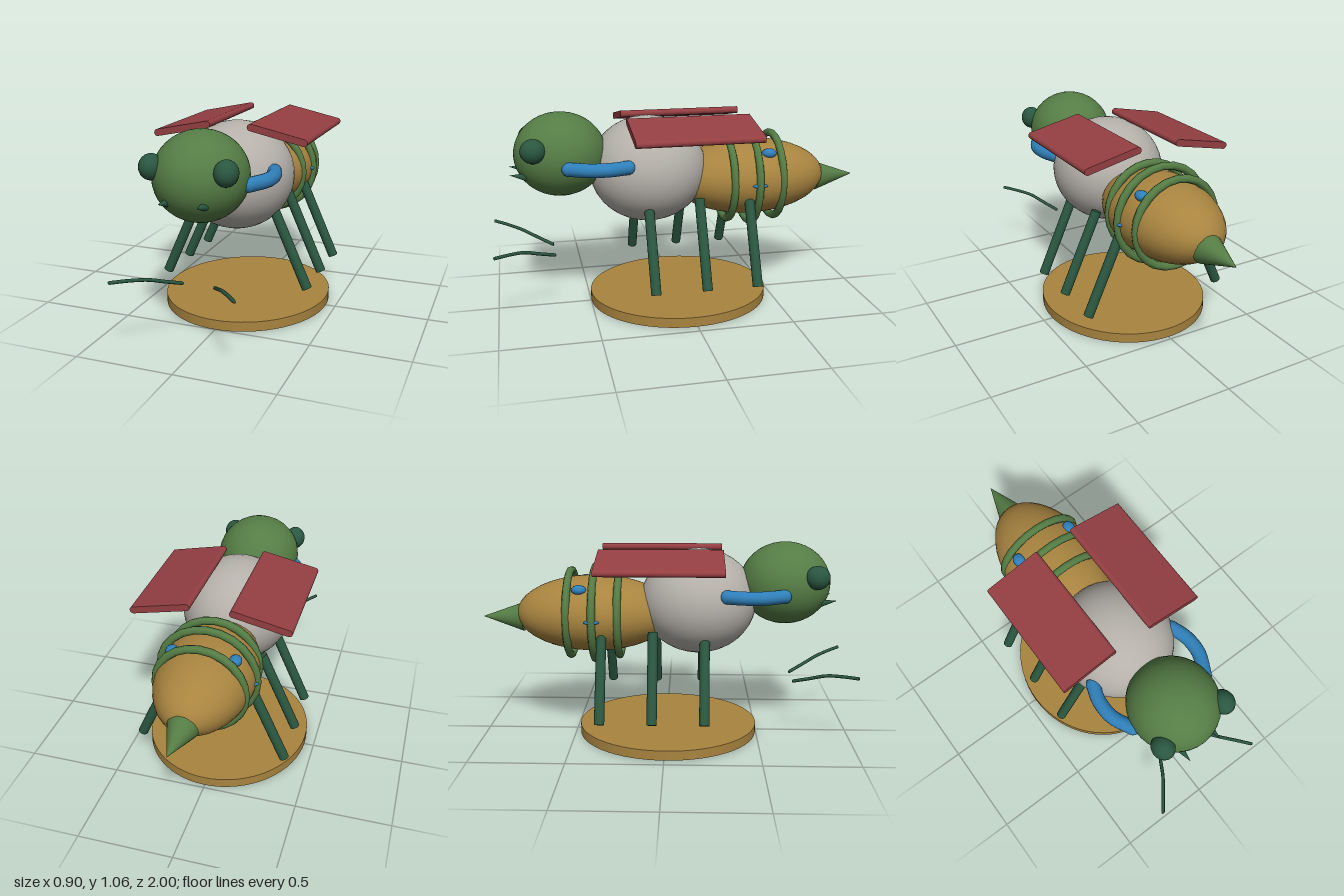
import * as THREE from 'three';

const mat = (name, color, side = THREE.FrontSide) => {
  const m = new THREE.MeshStandardMaterial({ color, side });
  m.name = name;
  return m;
};

export function createModel() {
  const group = new THREE.Group();
  const leaf = mat('leaf green', 0x557d45);
  const dark = mat('dark green', 0x2a5740);
  const grey = mat('stone grey', 0xb5b1aa);
  const gold = mat('ochre', 0xa8843f);
  const blue = mat('blue', 0x2f80ba);
  const red = mat('brick red', 0x943f42);

  const add = (name, geometry, material, x = 0, y = 0, z = 0) => {
    const mesh = new THREE.Mesh(geometry, material);
    mesh.name = name;
    mesh.position.set(x, y, z);
    group.add(mesh);
    return mesh;
  };
  const ellipsoid = (name, material, [x, y, z], [rx, ry, rz], seg = 40) =>
    add(name, new THREE.SphereGeometry(1, seg, seg / 2).scale(rx, ry, rz), material, x, y, z);
  const vec = (x, y, z) => new THREE.Vector3(x, y, z);

  // Cylinder or cone running from point a to point b
  const rod = (name, material, a, b, rA, rB, seg = 16) => {
    const dir = b.clone().sub(a);
    const mesh = add(name, new THREE.CylinderGeometry(rB, rA, dir.length(), seg), material);
    mesh.position.copy(a).add(b).multiplyScalar(0.5);
    mesh.quaternion.setFromUnitVectors(vec(0, 1, 0), dir.normalize());
    return mesh;
  };

  // Oval base
  add('base', new THREE.CylinderGeometry(0.448, 0.448, 0.052, 64).scale(1, 1, 1.09), gold, 0, 0.026, 0.01);

  // Body
  ellipsoid('head', leaf, [0, 0.841, 0.635], [0.23, 0.218, 0.24]);
  ellipsoid('thorax', grey, [0, 0.741, 0.174], [0.297, 0.281, 0.311]);
  ellipsoid('abdomen', gold, [0, 0.67, -0.385], [0.25, 0.204, 0.425]);
  rod('stinger', leaf, vec(0, 0.645, -0.775), vec(0, 0.645, -1), 0.08, 0, 24);

  // Bands around the abdomen
  for (const [z, r] of [[-0.25, 0.23], [-0.38, 0.253], [-0.515, 0.23]])
    add('abdomenBand', new THREE.TorusGeometry(r, 0.021, 8, 24), leaf, 0, 0.67, z);

  // Wing cross-section: a flat bar with rounded ends
  const half = 0.141, t = 0.018;
  const bar = new THREE.Shape();
  bar.moveTo(-half, -t);
  bar.lineTo(half, -t);
  bar.absarc(half, 0, t, -Math.PI / 2, Math.PI / 2);
  bar.lineTo(-half, t);
  bar.absarc(-half, 0, t, Math.PI / 2, Math.PI * 1.5);
  const wingGeo = new THREE.ExtrudeGeometry(bar, { depth: 0.65, bevelEnabled: false, curveSegments: 10 });
  wingGeo.translate(0, 0, -0.325);

  for (const s of [1, -1]) {
    const side = s > 0 ? 'left' : 'right';

    // Face
    ellipsoid(side + 'Eye', dark, [s * 0.184, 0.9, 0.78], [0.057, 0.062, 0.064], 24);
    rod(side + 'Fang', dark, vec(s * 0.093, 0.749, 0.815), vec(s * 0.093, 0.762, 0.9), 0.021, 0, 12);

    // Wings, drooping outwards
    const wing = add(side + 'Wing', wingGeo, red, s * 0.255, 0.985, -0.025);
    wing.rotation.z = -s * 0.21;

    // Arms with rounded ends
    const arm = new THREE.CatmullRomCurve3([
      vec(s * 0.25, 0.81, 0.315), vec(s * 0.277, 0.81, 0.4),
      vec(s * 0.275, 0.81, 0.5), vec(s * 0.225, 0.81, 0.61)]);
    add(side + 'Arm', new THREE.TubeGeometry(arm, 24, 0.036, 14), blue);
    for (const u of [0, 1])
      ellipsoid(side + 'ArmEnd', blue, arm.getPoint(u).toArray(), [0.036, 0.036, 0.036], 16);

    // Spots on the abdomen
    ellipsoid(side + 'UpperSpot', blue, [s * 0.16, 0.825, -0.452], [0.032, 0.026, 0.04], 16);
    ellipsoid(side + 'SideSpot', blue, [s * 0.242, 0.672, -0.38], [0.025, 0.012, 0.043], 16);

    // Three splayed legs
    for (const z of [0.206, -0.064, -0.333])
      rod(side + 'Leg', dark, vec(s * 0.397, 0.17, z), vec(s * 0.2, 0.61, z), 0.0265, 0.0265);

    // Curved feelers floating in front
    const feeler = new THREE.CatmullRomCurve3([
      vec(s * 0.085, 0.314, 0.69), vec(s * 0.135, 0.345, 0.77),
      vec(s * 0.185, 0.377, 0.85), vec(s * 0.245, 0.392, 0.925), vec(s * 0.302, 0.4, 0.995)]);
    add(side + 'Feeler', new THREE.TubeGeometry(feeler, 20, 0.009, 8),
      group.userData.feelerMat ??= dark);
    for (const u of [0, 1])
      ellipsoid(side + 'FeelerEnd', dark, feeler.getPoint(u).toArray(), [0.009, 0.009, 0.006], 8);
  }
  delete group.userData.feelerMat;
  return group;
}
